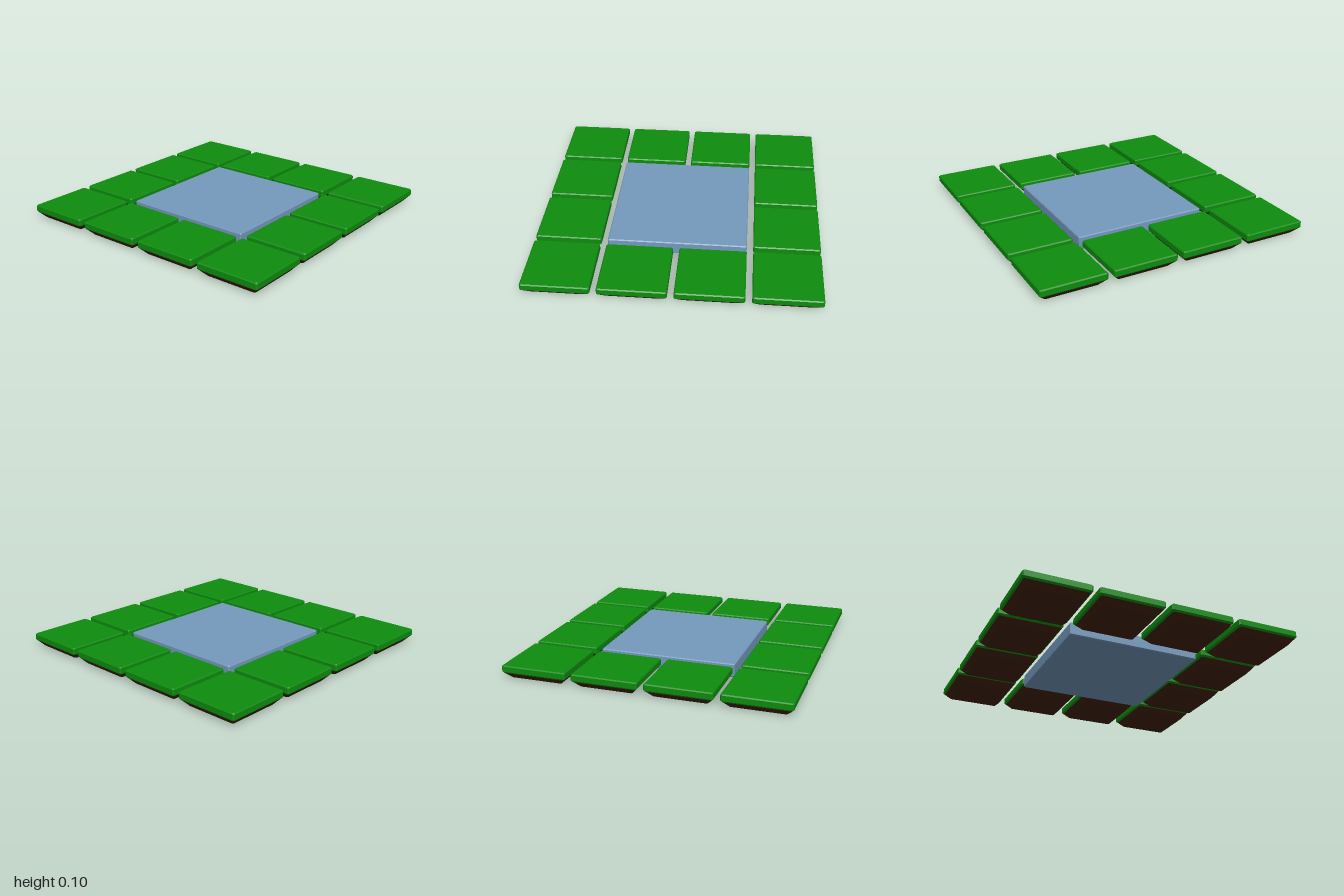
import * as THREE from 'three';

const grassMat = new THREE.MeshStandardMaterial({ color: 0x0e8c0e, flatShading: true });
const soilMat = new THREE.MeshStandardMaterial({ color: 0x40200a, flatShading: true });
const slabMat = new THREE.MeshStandardMaterial({ color: 0x7499bd, flatShading: true });

// Square outline with clipped corners, counter-clockwise from above
function ring([half, y], clip) {
  const inner = half - clip;
  return [[half, inner], [half, -inner], [inner, -half], [-inner, -half],
    [-half, -inner], [-half, inner], [-inner, half], [inner, half]]
    .map(([x, z]) => new THREE.Vector3(x, y, z));
}

// Joins square outlines from bottom to top; ends are closed on request
function stack(profile, clip, capBottom, capTop) {
  const rings = profile.map((p) => ring(p, clip));
  const points = [];
  for (let r = 0; r < rings.length - 1; r++) {
    for (let i = 0; i < 8; i++) {
      const j = (i + 1) % 8;
      const [a, b, c, d] = [rings[r][i], rings[r][j], rings[r + 1][j], rings[r + 1][i]];
      points.push(a, b, c, a, c, d);
    }
  }
  const bottom = rings[0], top = rings[rings.length - 1];
  for (let i = 1; i < 7; i++) {
    if (capBottom) points.push(bottom[0], bottom[i + 1], bottom[i]);
    if (capTop) points.push(top[0], top[i], top[i + 1]);
  }
  const geometry = new THREE.BufferGeometry().setFromPoints(points);
  geometry.computeVertexNormals();
  return geometry;
}

function part(name, geometry, material) {
  const mesh = new THREE.Mesh(geometry, material);
  mesh.name = name;
  return mesh;
}

export function createModel() {
  const model = new THREE.Group();
  model.name = 'tileBoard';

  // Grass cap and tapered soil base shared by every tile
  const grass = stack([[0.222, 0.04], [0.233, 0.052], [0.233, 0.09], [0.226, 0.097]], 0.008, false, true);
  const soil = stack([[0.186, 0], [0.222, 0.04]], 0.008, true, false);

  // Twelve tiles around the border of a four by four grid
  const pitch = 0.511;
  for (let row = 0; row < 4; row++) {
    for (let col = 0; col < 4; col++) {
      if (row % 3 !== 0 && col % 3 !== 0) continue;
      const tile = new THREE.Group();
      tile.name = `tile_${row}_${col}`;
      tile.add(part('grass', grass, grassMat), part('soil', soil, soilMat));
      tile.position.set((col - 1.5) * pitch, 0, (row - 1.5) * pitch);
      model.add(tile);
    }
  }

  // Large bevelled slab in the middle
  const slab = stack([[0.482, 0], [0.488, 0.007], [0.488, 0.09], [0.482, 0.097]], 0.006, true, true);
  model.add(part('centreSlab', slab, slabMat));

  return model;
}
